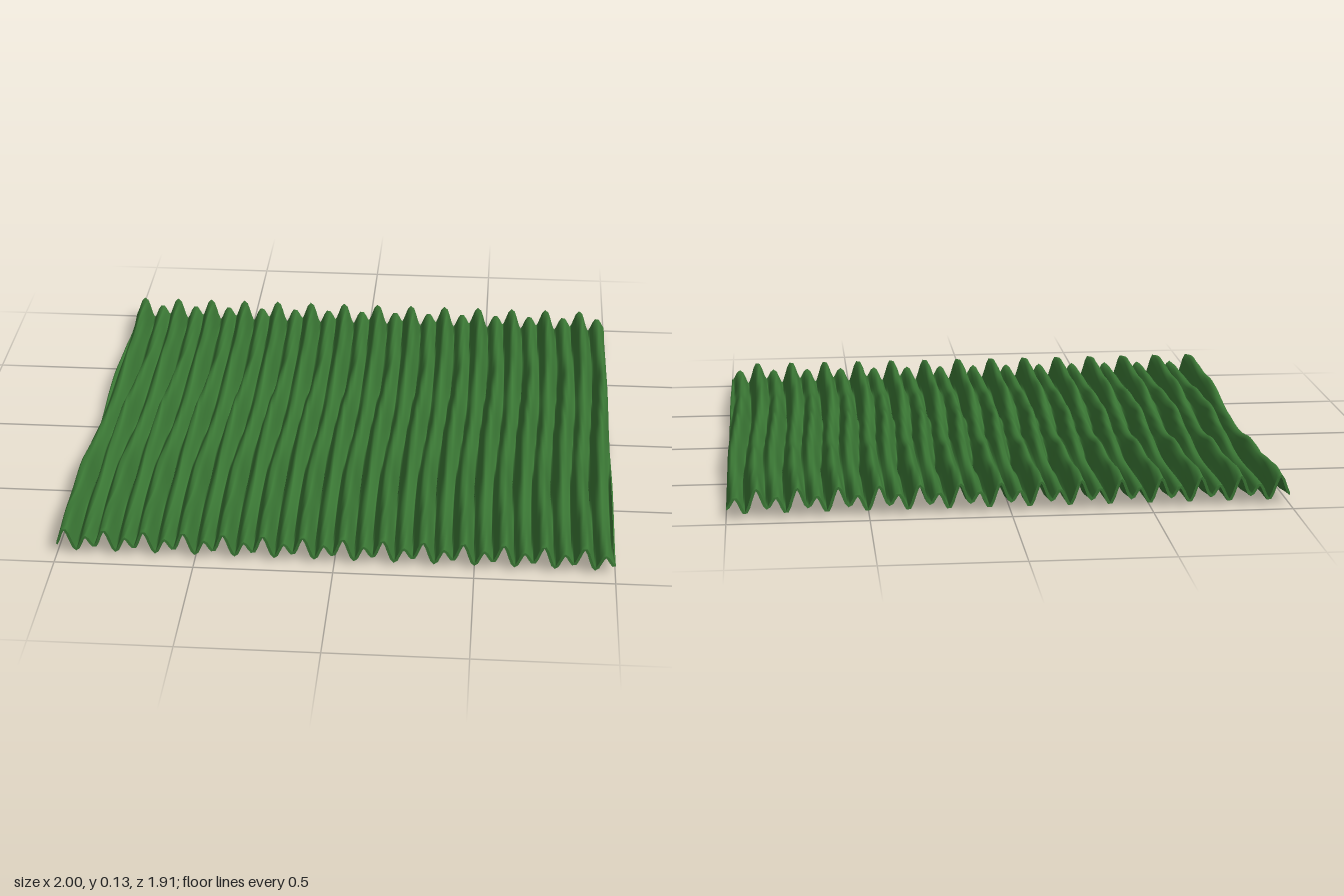
import * as THREE from 'three';

const HALF_X = 1, HALF_Z = 0.948, HALF_THICK = 0.005;
const RIDGES = 14, NX = RIDGES * 16, NZ = 90, MID = 0.075;

// Height of the sheet's middle layer: a broad wave and a double-speed wave
// whose phases wander along z, so ridges swell, split and lean.
function height(x, z) {
  const t = Math.PI * RIDGES * (x + 1 + 0.013 * Math.sin(Math.PI * z));
  const swell = 0.86 + 0.14 * Math.cos(15.3 * z);
  const drift = (Math.PI / 2) * Math.cos(4.2 * z);
  return MID + swell * (0.022 * Math.cos(t + drift) - 0.038 * Math.cos(2 * t));
}

// Point on the upper (side = 1) or lower (side = -1) skin
function skinPoint(x, z, side) {
  const e = 0.001, y = height(x, z);
  const n = new THREE.Vector3(
    (height(x - e, z) - height(x + e, z)) / (2 * e), 1,
    (height(x, z - e) - height(x, z + e)) / (2 * e)
  ).normalize();
  const p = new THREE.Vector3(x, y, z).addScaledVector(n, side * HALF_THICK);
  p.x = THREE.MathUtils.clamp(p.x, -HALF_X, HALF_X);
  p.z *= 1 + 0.12 * (y - MID); // ragged ends follow the ridges
  return p;
}

// Plane grid whose vertices are placed by a rule on u, v in 0..1
function ruledGrid(nu, nv, rule, flip = false) {
  const g = new THREE.PlaneGeometry(1, 1, nu, nv);
  const pos = g.attributes.position;
  for (let i = 0; i < pos.count; i++) {
    const p = rule(pos.getX(i) + 0.5, 0.5 - pos.getY(i));
    pos.setXYZ(i, p.x, p.y, p.z);
  }
  if (flip) g.setIndex(Array.from(g.index.array).reverse());
  g.computeVertexNormals();
  return g;
}

export function createModel() {
  const group = new THREE.Group();
  group.name = 'corrugatedSheet';
  const material = new THREE.MeshStandardMaterial({ color: 0x3c7a36, side: THREE.DoubleSide });
  const add = (name, geometry) => {
    const mesh = new THREE.Mesh(geometry, material);
    mesh.name = name;
    group.add(mesh);
  };
  const X = u => (u * 2 - 1) * HALF_X;
  const Z = v => (v * 2 - 1) * HALF_Z;

  // Upper and lower skins
  add('upperSkin', ruledGrid(NX, NZ, (u, v) => skinPoint(X(u), Z(v), 1)));
  add('lowerSkin', ruledGrid(NX, NZ, (u, v) => skinPoint(X(u), Z(v), -1), true));

  // Rims closing the four borders
  for (const s of [1, -1]) {
    add(s > 0 ? 'frontRim' : 'backRim',
      ruledGrid(NX, 1, (u, v) => skinPoint(X(u), s * HALF_Z, 1 - 2 * v), s < 0));
    add(s > 0 ? 'leftRim' : 'rightRim',
      ruledGrid(NZ, 1, (u, v) => skinPoint(s * HALF_X, Z(u), 1 - 2 * v), s > 0));
  }
  return group;
}
